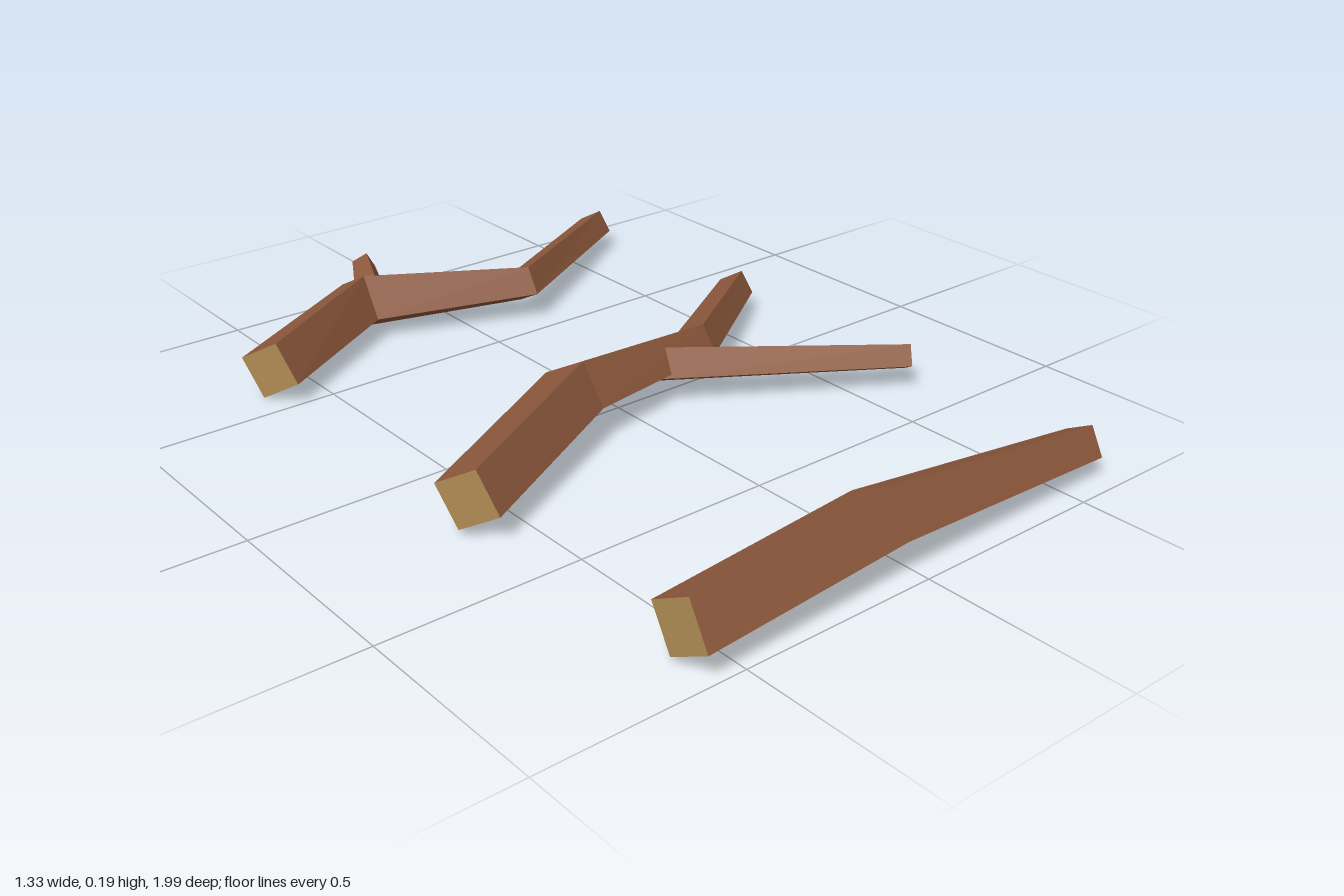
import * as THREE from 'three';

const bark = new THREE.MeshStandardMaterial({ color: 0x8f5a3d });
bark.name = 'bark brown';
const cutWood = new THREE.MeshStandardMaterial({ color: 0xb08c54 });
cutWood.name = 'cut wood tan';
bark.flatShading = cutWood.flatShading = true;

const ROLL = 0.295; // roll of the square section about the stick's axis

// Four corners (top, right, bottom, left) of a rolled square at each path point
function sections(path) {
  return path.map(([x, y, z, r], i) => {
    const dir = new THREE.Vector2();
    for (const k of [i - 1, i]) {
      if (!path[k] || !path[k + 1]) continue;
      dir.add(new THREE.Vector2(path[k + 1][0] - path[k][0], path[k + 1][2] - path[k][2]).normalize());
    }
    dir.normalize();
    return [0, 1, 2, 3].map((k) => {
      const a = ROLL + (k * Math.PI) / 2;
      const side = Math.sin(a) * r;
      return [x - dir.y * side, y + Math.cos(a) * r, z + dir.x * side];
    });
  });
}

// Square stick along a path of [x, y, z, radius]
function stick(name, path, startMaterial = 1) {
  const rings = sections(path);
  const positions = [];
  const quad = (a, b, c, d) => positions.push(...a, ...b, ...d, ...b, ...c, ...d);
  for (let i = 0; i < rings.length - 1; i++) {
    const [p, q] = [rings[i], rings[i + 1]];
    for (let k = 0; k < 4; k++) {
      const n = (k + 1) % 4;
      quad(p[k], p[n], q[n], q[k]);
    }
  }
  const sideCount = positions.length / 3;
  const [s, e] = [rings[0], rings[rings.length - 1]];
  quad(s[3], s[2], s[1], s[0]);
  quad(e[0], e[1], e[2], e[3]);

  const geometry = new THREE.BufferGeometry();
  geometry.setAttribute('position', new THREE.Float32BufferAttribute(positions, 3));
  geometry.addGroup(0, sideCount, 0);
  geometry.addGroup(sideCount, 6, startMaterial);
  geometry.addGroup(sideCount + 6, 6, 1);
  geometry.computeVertexNormals();
  const mesh = new THREE.Mesh(geometry, [bark, cutWood]);
  mesh.name = name;
  return mesh;
}

export function createModel() {
  const group = new THREE.Group();
  group.name = 'sticks';

  // Plain stick at the front
  group.add(stick('frontStick', [
    [-0.595, 0.093, 0.917, 0.081],
    [-0.04, 0.117, 0.893, 0.084],
    [0.622, 0.069, 0.899, 0.054],
  ]));

  // Forked stick in the middle
  group.add(stick('middleStick', [
    [-0.632, 0.094, 0.282, 0.081],
    [-0.165, 0.117, 0.043, 0.085],
    [0.26, 0.1, -0.01, 0.056],
    [0.634, 0.073, -0.272, 0.047],
  ]));
  group.add(stick('middleBranch', [
    [0.11, 0.095, 0.02, 0.054],
    [0.645, 0.08, 0.347, 0.039],
  ], 0));

  // Crooked stick with a short twig at the back
  group.add(stick('backStick', [
    [-0.632, 0.081, -0.566, 0.08],
    [-0.24, 0.085, -0.793, 0.085],
    [0.166, 0.093, -0.608, 0.054],
    [0.635, 0.07, -0.895, 0.047],
  ]));
  group.add(stick('backTwig', [
    [-0.2, 0.098, -0.8, 0.045],
    [-0.112, 0.103, -0.983, 0.032],
  ], 0));

  return group;
}
